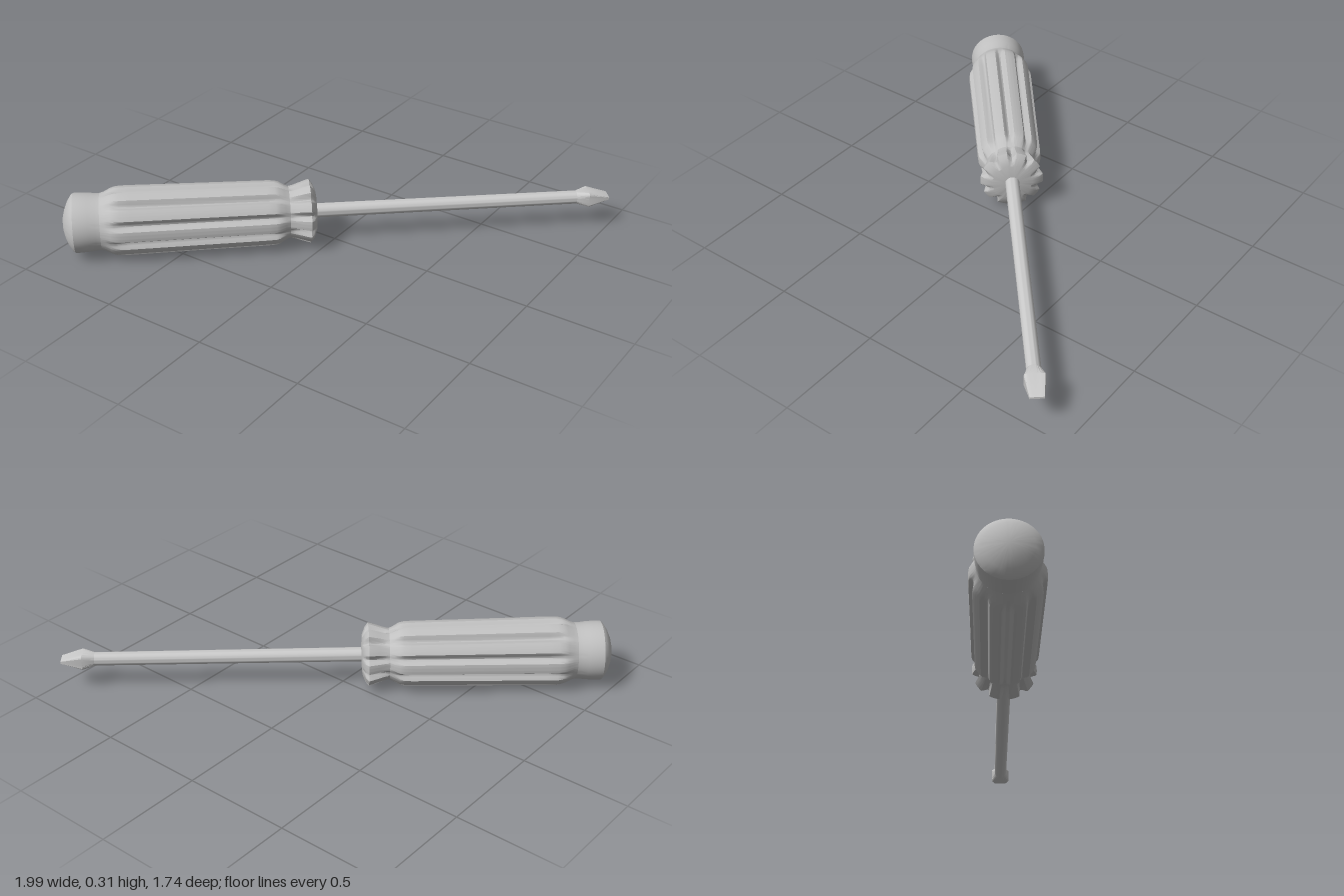
import * as THREE from 'three';
import { toCreasedNormals } from 'three/addons/utils/BufferGeometryUtils.js';

// Joins closed rings along z; point(section, angle) gives [x, y]
function loft(sections, sides, point, crease) {
  const pos = [], idx = [];
  sections.forEach((sec) => {
    for (let i = 0; i < sides; i++) {
      const [x, y] = point(sec, (i / sides) * Math.PI * 2);
      pos.push(x, y, sec[0]);
    }
  });
  for (let j = 0; j < sections.length - 1; j++) {
    for (let i = 0; i < sides; i++) {
      const k = (i + 1) % sides;
      const a = j * sides + i, b = j * sides + k;
      const c = a + sides, d = b + sides;
      idx.push(a, b, d, a, d, c);
    }
  }
  const geo = new THREE.BufferGeometry();
  geo.setAttribute('position', new THREE.Float32BufferAttribute(pos, 3));
  geo.setIndex(idx);
  return toCreasedNormals(geo, crease);
}

// Circle with ten grooves, one of them pointing straight up
function fluted([, r, depth = 0], a) {
  const wave = Math.max(0, Math.cos(10 * (a - Math.PI / 2)));
  const rr = r - depth * Math.pow(wave, 1.3);
  return [Math.cos(a) * rr, Math.sin(a) * rr];
}

// Circle squared off to a half width and half height
function squared([, w, h, k], a) {
  const clip = (v) => THREE.MathUtils.clamp(v * k, -1, 1);
  return [clip(Math.cos(a)) * w, clip(Math.sin(a)) * h];
}

export function createModel() {
  const handleGrey = new THREE.MeshStandardMaterial({ color: 0xc0c0c0 });
  handleGrey.name = 'handleGrey';
  const steel = new THREE.MeshStandardMaterial({ color: 0xcacaca });
  steel.name = 'steel';

  const tool = new THREE.Group();
  tool.name = 'screwdriver';
  const add = (name, geo, mat) => {
    const mesh = new THREE.Mesh(geo, mat);
    mesh.name = name;
    tool.add(mesh);
  };

  // Domed butt and the neck behind the grip: [along, radius]
  add('buttCap', loft([
    [-0.046, 0.0005], [-0.043, 0.035], [-0.034, 0.07], [-0.02, 0.103],
    [-0.004, 0.128], [0.006, 0.136], [0.025, 0.137], [0.075, 0.134], [0.105, 0.13], [0.125, 0.13],
  ], 80, fluted, 0.6), handleGrey);

  // Fluted grip: [along, radius, groove depth]
  add('grip', loft([
    [0.125, 0.13], [0.145, 0.136, 0.001], [0.17, 0.149, 0.006], [0.19, 0.156, 0.013],
    [0.215, 0.159, 0.019], [0.26, 0.159, 0.022], [0.58, 0.154, 0.022], [0.88, 0.15, 0.022],
    [0.915, 0.148, 0.02], [0.935, 0.143, 0.015], [0.96, 0.128, 0.006], [0.98, 0.119, 0.004],
  ], 160, fluted, 0.7), handleGrey);

  // Flared, notched collar with its front face
  add('collar', loft([
    [0.98, 0.119, 0.004], [1.0, 0.123, 0.012], [1.03, 0.133, 0.02], [1.06, 0.143, 0.024],
    [1.075, 0.147, 0.025], [1.09, 0.128, 0.018], [1.103, 0.095, 0.004], [1.108, 0.03],
  ], 160, fluted, 0.5), handleGrey);

  // Round shaft
  add('shaft', loft([[1.1, 0.033], [2.34, 0.031]], 32, fluted, 0.6), steel);

  // Flat blade: [along, half width, half height, squareness]
  add('blade', loft([
    [2.33, 0.031, 0.031, 1], [2.385, 0.045, 0.036, 1.3],
    [2.484, 0.03, 0.005, 1.42], [2.484, 0.0005, 0.0005, 1.42],
  ], 32, squared, 0.45), steel);

  // Lay the tool diagonally, tip to the back left
  const dir = new THREE.Vector3(0.759, -0.006, -0.651).normalize();
  const side = new THREE.Vector3(0, 1, 0).cross(dir).normalize();
  const up = dir.clone().cross(side);
  tool.quaternion.setFromRotationMatrix(new THREE.Matrix4().makeBasis(side, up, dir));
  tool.position.set(-0.91, 0.162, 0.768);

  const model = new THREE.Group();
  model.name = 'model';
  model.add(tool);
  return model;
}
